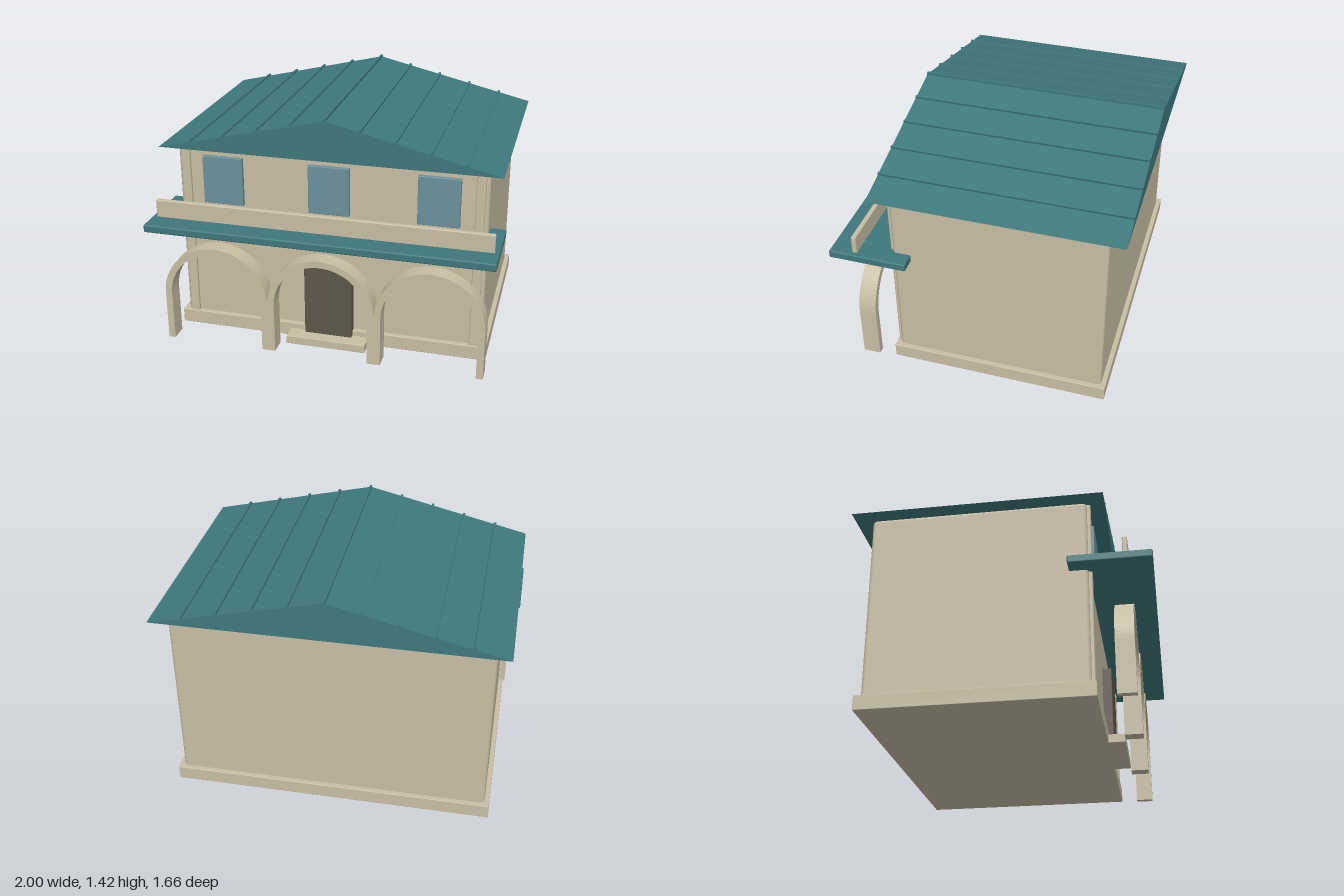
import * as THREE from 'three';
import { RoundedBoxGeometry } from 'three/addons/geometries/RoundedBoxGeometry.js';

function material(name, color) {
  const m = new THREE.MeshStandardMaterial({ color });
  m.name = name;
  return m;
}

export function createModel() {
  const house = new THREE.Group();
  house.name = 'house';
  const stucco = material('stucco', 0xc8bea4);
  const teal = material('teal metal', 0x3e787c);
  const glass = material('window glass', 0x6a919c);
  const wood = material('dark wood', 0x5f5648);

  const add = (name, geometry, mat) => {
    const mesh = new THREE.Mesh(geometry, mat);
    mesh.name = name;
    house.add(mesh);
    return mesh;
  };
  // Box given by its limits; a radius rounds the edges
  const box = (name, mat, x0, x1, y0, y1, z0, z1, radius = 0) => {
    const size = [x1 - x0, y1 - y0, z1 - z0];
    const geometry = radius
      ? new RoundedBoxGeometry(...size, 2, radius)
      : new THREE.BoxGeometry(...size);
    geometry.translate((x0 + x1) / 2, (y0 + y1) / 2, (z0 + z1) / 2);
    return add(name, geometry, mat);
  };

  // Walls, plinth and corner pilasters
  box('plinth', stucco, -0.937, 0.937, 0, 0.085, -0.757, 0.515, 0.004);
  box('walls', stucco, -0.909, 0.909, 0.03, 1.168, -0.729, 0.487, 0.022);
  for (const s of [-1, 1]) {
    const x = s * 0.861;
    box('cornerPilaster', stucco, x - 0.027, x + 0.027, 0.05, 1.165, 0.45, 0.506, 0.008);
  }

  // Door and step
  box('door', wood, -0.143, 0.143, 0.05, 0.5, 0.48, 0.541, 0.003);
  box('doorStep', stucco, -0.239, 0.239, 0, 0.05, 0.5, 0.612, 0.003);

  // Upper windows and arcade, on the same three bays
  const outer = 0.3165, inner = 0.277, spring = 0.303;
  const arch = new THREE.Shape();
  arch.moveTo(outer, spring);
  arch.absarc(0, spring, outer, 0, Math.PI, false);
  arch.lineTo(-inner, spring);
  arch.absarc(0, spring, inner, Math.PI, 0, true);
  arch.closePath();
  const archGeometry = new THREE.ExtrudeGeometry(arch, {
    depth: 0.102, bevelEnabled: false, curveSegments: 20,
  });
  for (const x of [-0.633, 0, 0.633]) {
    box('window', glass, x - 0.12, x + 0.12, 0.82, 1.11, 0.48, 0.512, 0.004);
    add('arch', archGeometry, stucco).position.set(x, 0, 0.613);
    for (const s of [-1, 1]) {
      const c = x + s * (outer + inner) / 2;
      const h = (outer - inner) / 2;
      box('archPost', stucco, c - h, c + h, 0, spring, 0.613, 0.715);
    }
  }

  // Balcony slab and parapet
  box('balconySlab', teal, -1, 1, 0.74, 0.786, 0.381, 0.833, 0.008);
  box('parapet', stucco, -0.973, 0.973, 0.78, 0.89, 0.674, 0.702, 0.006);

  // Gable roof
  const half = 0.987, eave = 1.17, ridge = 1.405, back = -0.829, front = 0.584;
  const gable = new THREE.Shape();
  gable.moveTo(-half, eave);
  gable.lineTo(half, eave);
  gable.lineTo(0, ridge);
  gable.closePath();
  const roof = new THREE.ExtrudeGeometry(gable, { depth: front - back, bevelEnabled: false });
  add('roof', roof, teal).position.z = back;

  // Standing seams running front to back
  const slope = Math.atan2(ridge - eave, half);
  const seam = new THREE.BoxGeometry(0.014, 0.026, front - back);
  for (let i = -4; i <= 4; i++) {
    const x = i * 0.1975;
    const mesh = add('roofSeam', seam, teal);
    mesh.position.set(x, ridge - Math.abs(x) * Math.tan(slope), (front + back) / 2);
    mesh.rotation.z = -Math.sign(i) * slope;
  }
  return house;
}
